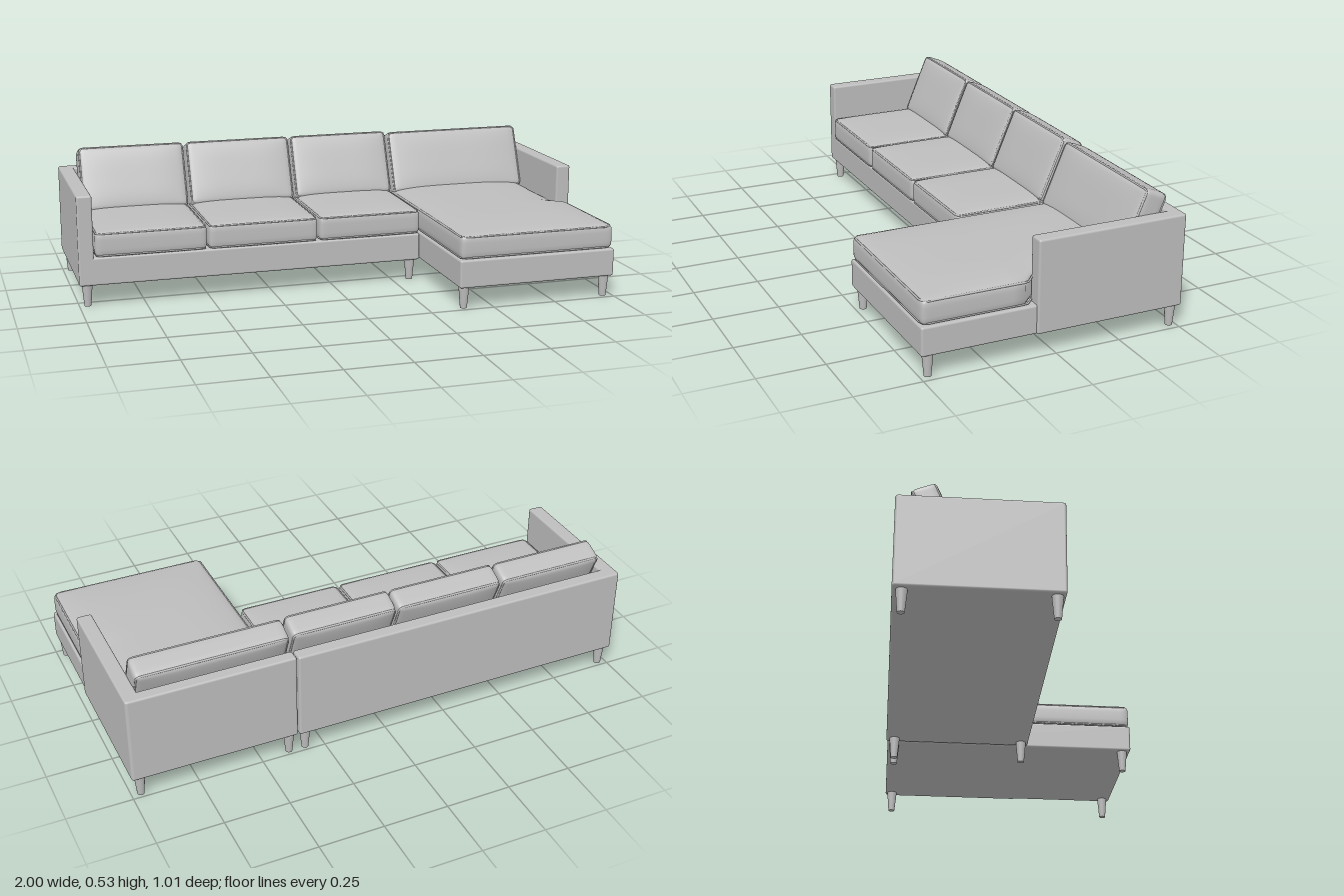
import * as THREE from 'three';
import { mergeVertices } from 'three/addons/utils/BufferGeometryUtils.js';
import { RoundedBoxGeometry } from 'three/addons/geometries/RoundedBoxGeometry.js';

const fabric = new THREE.MeshStandardMaterial({ color: 0xbdbdbd });
fabric.name = 'greyFabric';

function add(parent, name, geometry) {
  const mesh = new THREE.Mesh(geometry, fabric);
  mesh.name = name;
  parent.add(mesh);
  return mesh;
}

// Upholstered block between two corners
function block(parent, name, [x0, y0, z0], [x1, y1, z1], r = 0.008) {
  const mesh = add(parent, name, new RoundedBoxGeometry(x1 - x0, y1 - y0, z1 - z0, 3, r));
  mesh.position.set((x0 + x1) / 2, (y0 + y1) / 2, (z0 + z1) / 2);
}

// Soft rounded slab, crowned along y, with piping around both edges.
// warp(x, z) gives a new x, for cushions that are not rectangular.
function cushion(name, w, h, d, crown, warp = (x) => x) {
  const group = new THREE.Group();
  group.name = name;
  const r = 0.02;
  const half = new THREE.Vector3(w / 2, h / 2, d / 2);
  const inner = half.clone().subScalar(r);
  let geo = new THREE.BoxGeometry(2, 2, 2, 24, 8, 32);
  const p = geo.attributes.position;
  const v = new THREE.Vector3(), c = new THREE.Vector3();
  const ease = (t) => Math.sin(t * Math.PI / 2); // packs vertices near the edges
  for (let i = 0; i < p.count; i++) {
    v.set(ease(p.getX(i)), ease(p.getY(i)), ease(p.getZ(i)));
    const puff = crown * (1 - v.x ** 4) * (1 - v.z ** 4) * v.y;
    v.multiply(half);
    c.copy(v).clamp(inner.clone().negate(), inner);
    v.sub(c);
    if (v.lengthSq() > 0) v.setLength(r);
    v.add(c);
    p.setXYZ(i, warp(v.x, v.z), v.y + puff, v.z);
  }
  geo.deleteAttribute('uv');
  geo.deleteAttribute('normal');
  geo = mergeVertices(geo, 1e-5);
  geo.computeVertexNormals();
  add(group, 'cushionBody', geo);

  // Piping follows the rounded rectangle of the seam
  const k = 0.29 * r, a = w / 2 - k, b = d / 2 - k, q = 0.016;
  const s = new THREE.Shape();
  s.moveTo(-a + q, -b);
  s.lineTo(a - q, -b); s.quadraticCurveTo(a, -b, a, -b + q);
  s.lineTo(a, b - q); s.quadraticCurveTo(a, b, a - q, b);
  s.lineTo(-a + q, b); s.quadraticCurveTo(-a, b, -a, b - q);
  s.lineTo(-a, -b + q); s.quadraticCurveTo(-a, -b, -a + q, -b);
  const loop = s.getSpacedPoints(120).slice(0, -1);
  for (const side of [-1, 1]) {
    const pts = loop.map((o) => new THREE.Vector3(warp(o.x, o.y), side * (h / 2 - k), o.y));
    const curve = new THREE.CatmullRomCurve3(pts, true);
    add(group, 'piping', new THREE.TubeGeometry(curve, 140, 0.004, 6, true));
  }
  return group;
}

// Tapered feet at the corners of one section
function feet(parent, xs, zs) {
  for (const x of xs) for (const z of zs) {
    add(parent, 'foot', new THREE.CylinderGeometry(0.021, 0.013, 0.09, 20)).position.set(x, 0.045, z);
  }
}

export function createModel() {
  const model = new THREE.Group();
  model.name = 'sectionalSofa';

  // Long section: base, back and arm
  const sofa = new THREE.Group();
  sofa.name = 'sofaSection';
  model.add(sofa);
  block(sofa, 'base', [-0.995, 0.084, -0.5], [0.355, 0.192, 0.07]);
  block(sofa, 'backrest', [-0.998, 0.084, -0.51], [0.355, 0.432, -0.455]);
  block(sofa, 'arm', [-1, 0.084, -0.508], [-0.942, 0.432, 0.07]);
  feet(sofa, [-0.968, 0.322], [0.04, -0.477]);

  // Chaise section: long base, back and short arm
  const chaise = new THREE.Group();
  chaise.name = 'chaiseSection';
  model.add(chaise);
  block(chaise, 'base', [0.36, 0.084, -0.495], [0.992, 0.192, 0.503]);
  block(chaise, 'backrest', [0.36, 0.084, -0.505], [0.997, 0.432, -0.455]);
  block(chaise, 'arm', [0.942, 0.084, -0.503], [1, 0.432, 0.075]);
  feet(chaise, [0.387, 0.965], [0.47, -0.477]);

  // Seat cushions
  const edges = [-0.94, -0.505, -0.065, 0.357];
  for (let i = 0; i < 3; i++) {
    const w = edges[i + 1] - edges[i];
    const seat = cushion('seatCushion', w - 0.006, 0.096, 0.53, 0.012);
    seat.position.set(edges[i] + w / 2, 0.241, -0.188);
    sofa.add(seat);
  }

  // Chaise cushion widens in front of the arm
  const cw = 0.574, cd = 0.952, cz = 0.024;
  const widen = (x, z) => {
    const t = THREE.MathUtils.smoothstep(z + cz, 0.068, 0.095);
    return x + t * 0.05 * (x / cw + 0.5);
  };
  const lounge = cushion('chaiseCushion', cw, 0.092, cd, 0.021, widen);
  lounge.position.set(0.362 + cw / 2, 0.239, cz);
  chaise.add(lounge);

  // Leaning back cushions
  const backs = [[-0.935, -0.508], [-0.5, -0.068], [-0.062, 0.354], [0.364, 0.945]];
  backs.forEach(([x0, x1], i) => {
    const back = cushion('backCushion', x1 - x0, 0.095, 0.265, 0.01);
    back.position.set((x0 + x1) / 2, i === 3 ? 0.385 : 0.391, -0.366);
    back.rotation.x = THREE.MathUtils.degToRad(67.4);
    (i === 3 ? chaise : sofa).add(back);
  });

  return model;
}
